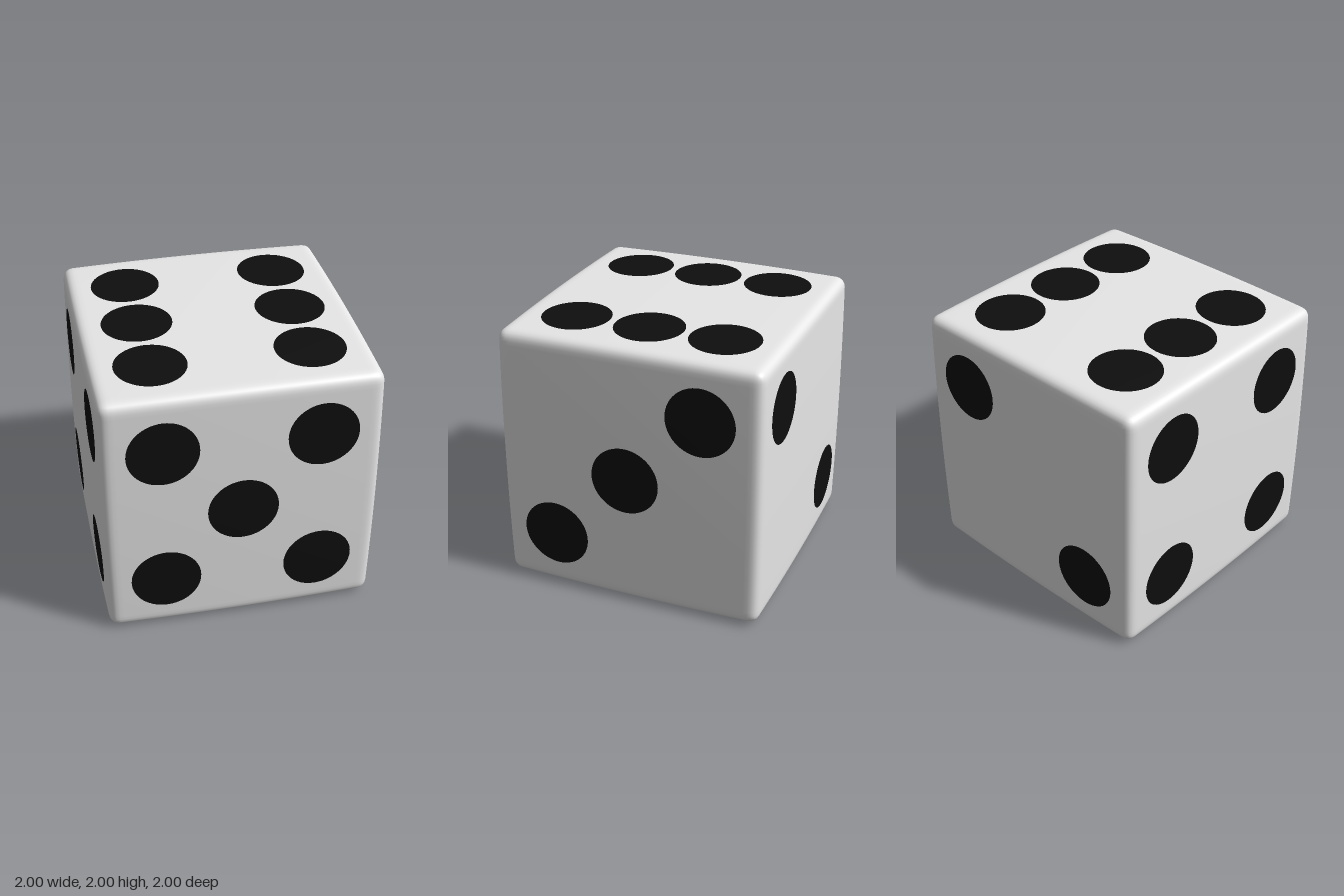
import * as THREE from 'three';
import { mergeVertices } from 'three/addons/utils/BufferGeometryUtils.js';

const EDGE = 0.075;   // edge rounding radius
const BULGE = 0.01;   // how much the faces swell towards their middle
const PIP_R = 0.257;
const S = 0.567;      // pip spacing from the face centre

// Swell every face of the cube slightly outwards at its centre.
function bulge(geometry) {
  const pos = geometry.attributes.position;
  for (let i = 0; i < pos.count; i++) {
    const x = pos.getX(i), y = pos.getY(i), z = pos.getZ(i);
    pos.setXYZ(i,
      x * (1 - BULGE * (y * y + z * z)),
      y * (1 - BULGE * (x * x + z * z)),
      z * (1 - BULGE * (x * x + y * y)));
  }
  geometry.computeVertexNormals();
  return geometry;
}

// Cube with rounded edges; grid lines are gathered towards the edges.
function cubeGeometry() {
  const box = new THREE.BoxGeometry(2, 2, 2, 40, 40, 40);
  box.deleteAttribute('uv');
  box.deleteAttribute('normal');
  const geometry = mergeVertices(box, 1e-5);
  const pos = geometry.attributes.position;
  const p = new THREE.Vector3(), core = new THREE.Vector3();
  const inner = 1 - EDGE;
  for (let i = 0; i < pos.count; i++) {
    p.fromBufferAttribute(pos, i);
    p.set(...p.toArray().map((c) => Math.sin(c * Math.PI / 2)));
    core.copy(p).clampScalar(-inner, inner);
    p.sub(core).setLength(EDGE).add(core);
    pos.setXYZ(i, p.x, p.y, p.z);
  }
  return bulge(geometry);
}

export function createModel() {
  const white = new THREE.MeshStandardMaterial({ color: 0xe7e7e7 });
  white.name = 'white';
  const black = new THREE.MeshStandardMaterial({ color: 0x0e0e0e });
  black.name = 'black';

  const die = new THREE.Group();
  die.name = 'die';
  const body = new THREE.Mesh(cubeGeometry(), white);
  body.name = 'body';
  die.add(body);

  // Pip positions on each face, as seen from outside (right, up).
  const H = Math.PI / 2;
  const corners = [[-S, S], [S, S], [-S, -S], [S, -S]];
  const faces = [
    { name: 'front', turn: [0, 0], pips: [...corners, [0, 0]] },
    { name: 'back', turn: [0, 2 * H], pips: [[-S, S], [S, -S]] },
    { name: 'right', turn: [0, H], shift: -0.012, pips: [[-S, -S], [0, 0], [S, S]] },
    { name: 'left', turn: [0, -H], pips: corners },
    { name: 'top', turn: [-H, 0], pips: [...corners, [-S, 0], [S, 0]] },
    { name: 'bottom', turn: [H, 0], pips: [[0, 0]] },
  ];

  for (const { name, turn, shift = 0, pips } of faces) {
    const face = new THREE.Group();
    face.name = name + 'Pips';
    face.rotation.set(turn[0], turn[1], 0);
    pips.forEach(([x, y], i) => {
      // Thin disc that follows the swelling of the face
      const disc = new THREE.RingGeometry(0, PIP_R, 56, 4);
      disc.translate(x + shift, y, 1.002);
      const pip = new THREE.Mesh(bulge(disc), black);
      pip.name = `${name}Pip${i + 1}`;
      face.add(pip);
    });
    die.add(face);
  }

  // Stand on the ground
  die.position.y = 1;
  const model = new THREE.Group();
  model.name = 'model';
  model.add(die);
  return model;
}
